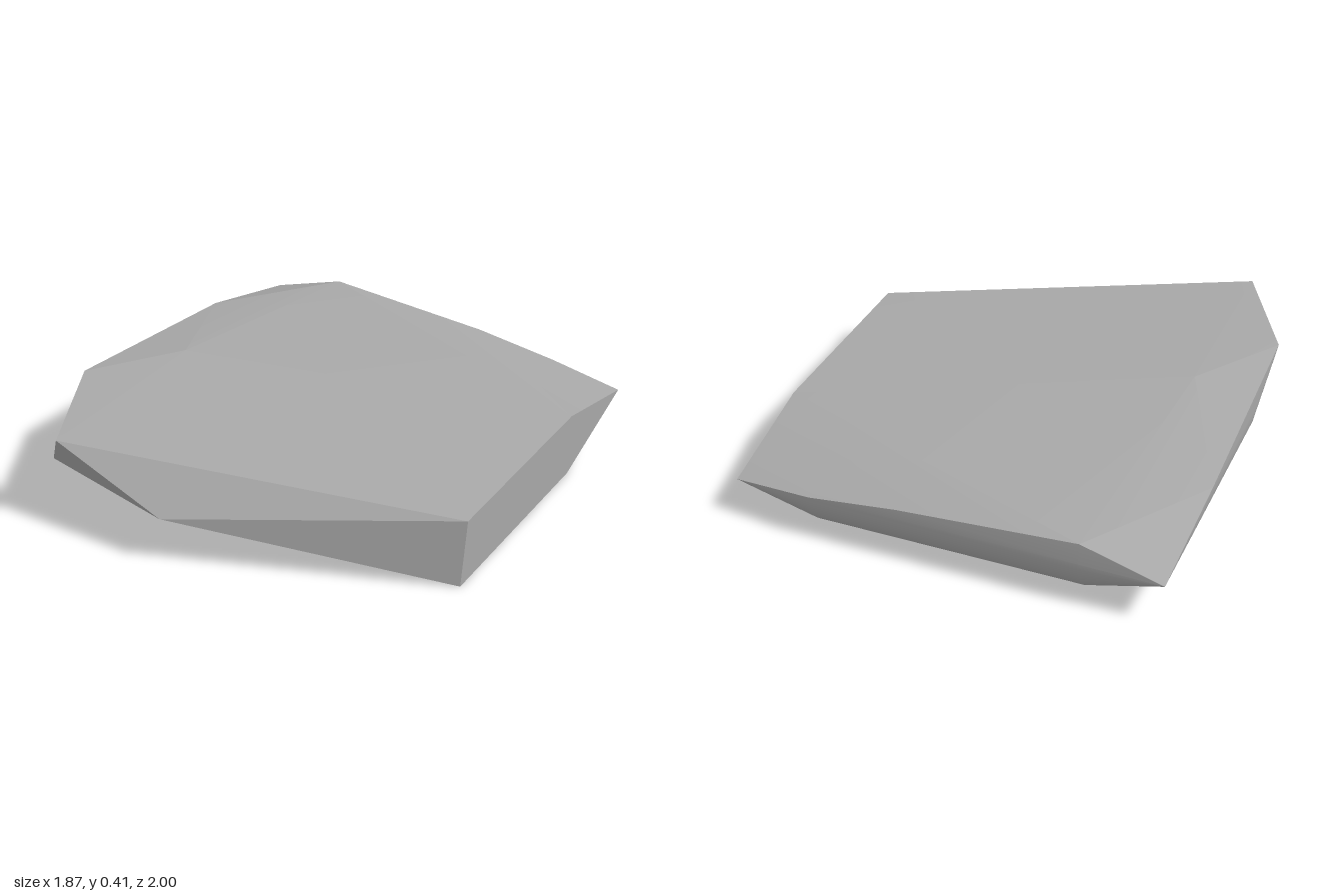
import * as THREE from 'three';
import { ConvexGeometry } from 'three/addons/geometries/ConvexGeometry.js';
import { toCreasedNormals } from 'three/addons/utils/BufferGeometryUtils.js';

const STEPS = 12;

export function createModel() {
  const group = new THREE.Group();
  group.name = 'facetedSlab';
  const stone = new THREE.MeshStandardMaterial({ color: 0xa8a8a8 });
  stone.name = 'grey stone';

  // Chipped corners of the slab
  const points = [
    // top plateau
    [-0.67, 0.405, 1], [-0.93, 0.405, 0.5], [-0.67, 0.405, 0.12],
    // front chips
    [-0.16, 0.21, 1], [-0.85, 0.165, 0.83],
    // left end
    [0.93, 0.29, 0.46], [0.93, 0, 0.5], [0.93, 0.29, -0.46],
    [0.93, 0.17, -0.96], [0.93, 0, -0.46],
    // back rim
    [0.2, 0.245, -1], [-0.57, 0.29, -0.99], [-0.91, 0.18, -0.98],
    [-0.933, 0.29, -0.47],
  ].map((p) => new THREE.Vector3(...p));

  // Rounded lower edges along the back and the right side
  for (let i = 0; i <= STEPS; i++) {
    const a = (i / STEPS) * Math.PI / 2;
    const c = Math.cos(a);
    const s = 1 - Math.sin(a);
    for (const x of [-0.57, 0.58]) points.push(new THREE.Vector3(x, 0.2 * s, -0.8 - 0.2 * c));
    for (const z of [-0.47, 0.15]) points.push(new THREE.Vector3(-0.633 - 0.302 * c, 0.3 * s, z));
  }

  // One convex body, smooth on the rounds and sharp on the chips
  const slab = new THREE.Mesh(toCreasedNormals(new ConvexGeometry(points), 0.18), stone);
  slab.name = 'slab';
  group.add(slab);
  return group;
}
